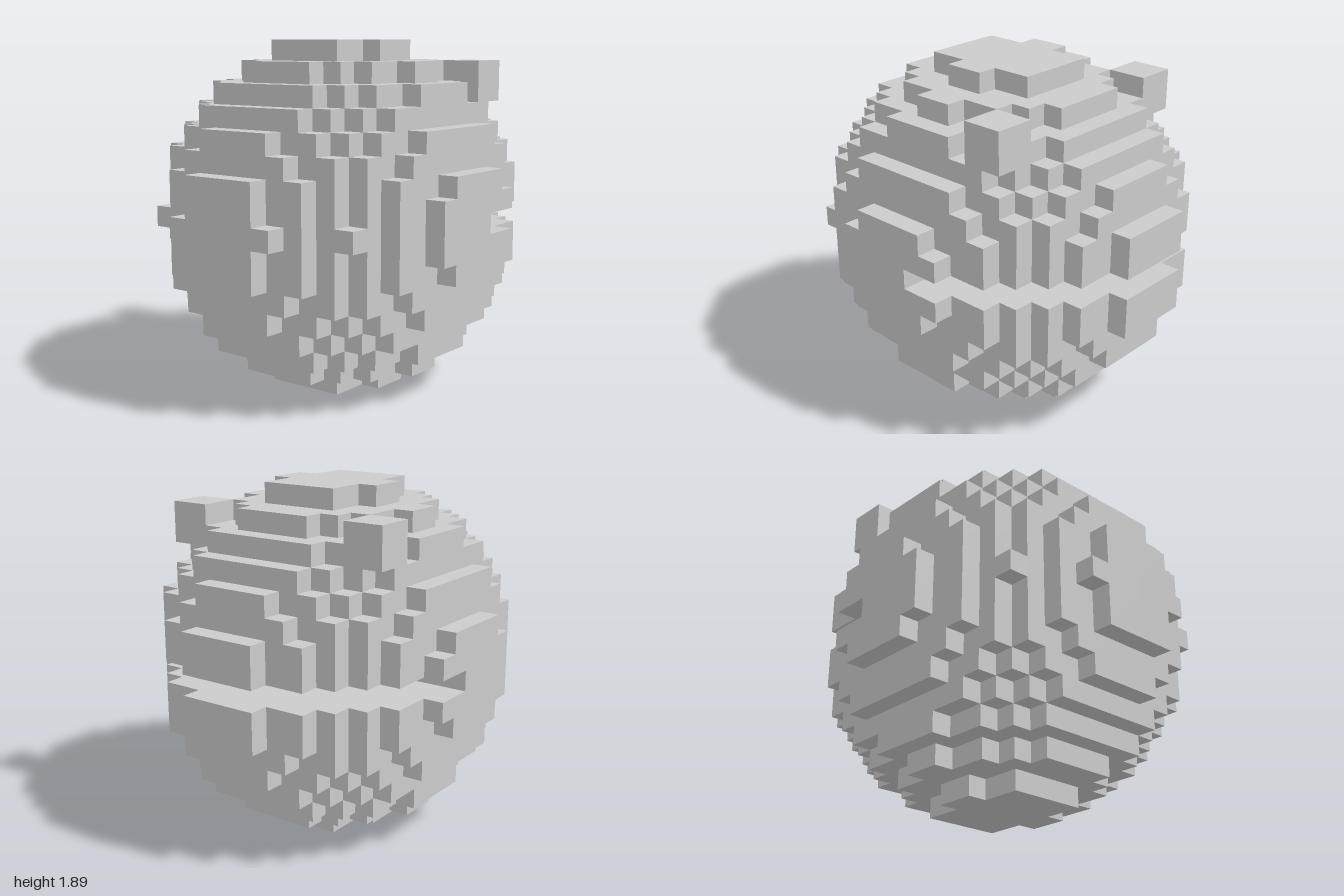
import * as THREE from 'three';
import { mergeGeometries } from 'three/addons/utils/BufferGeometryUtils.js';

const U = 1 / 9;                       // edge of one block
const RX = 9, RY = 8.5, RZ = 8;        // ball radii in blocks

// Is the block at column i, layer j, row k part of the ball?
function solid(i, j, k) {
  if (j === 8 && i >= 1) return false; // mouth slot
  const x = (i + 0.5) / RX, y = (j + 0.5 - RY) / RY, z = (k + 0.5) / RZ;
  return x * x + y * y + z * z <= 1;
}

// Six outward block sides: neighbour offset and a matching square
function side(dx, dy, dz, rx, ry) {
  const square = new THREE.PlaneGeometry(U, U).translate(0, 0, U / 2).rotateX(rx).rotateY(ry);
  return { dx, dy, dz, square };
}

// Blocky ball made of the exposed block sides only
function ballGeometry() {
  const q = Math.PI / 2;
  const sides = [
    side(0, 0, 1, 0, 0), side(0, 0, -1, 0, 2 * q),
    side(1, 0, 0, 0, q), side(-1, 0, 0, 0, -q),
    side(0, 1, 0, -q, 0), side(0, -1, 0, q, 0),
  ];
  const faces = [];
  for (let i = -RX; i < RX; i++)
    for (let j = 0; j < 2 * RY; j++)
      for (let k = -RZ; k < RZ; k++) {
        if (!solid(i, j, k)) continue;
        for (const s of sides) {
          if (solid(i + s.dx, j + s.dy, k + s.dz)) continue;
          faces.push(s.square.clone().translate((i + 0.5) * U, (j + 0.5) * U, (k + 0.5) * U));
        }
      }
  return mergeGeometries(faces);
}

export function createModel() {
  const group = new THREE.Group();
  group.name = 'blockyBall';
  const material = new THREE.MeshStandardMaterial({ color: 0xcccccc, flatShading: true });

  const body = new THREE.Mesh(ballGeometry(), material);
  body.name = 'body';
  group.add(body);

  // Cube eyes, two blocks wide, on both sides above the mouth
  for (const s of [1, -1]) {
    const eye = new THREE.Mesh(new THREE.BoxGeometry(2 * U, 2 * U, 2 * U), material);
    eye.name = s > 0 ? 'frontEye' : 'backEye';
    eye.position.set(4 * U, 15 * U, s * 5 * U);
    group.add(eye);
  }
  return group;
}
